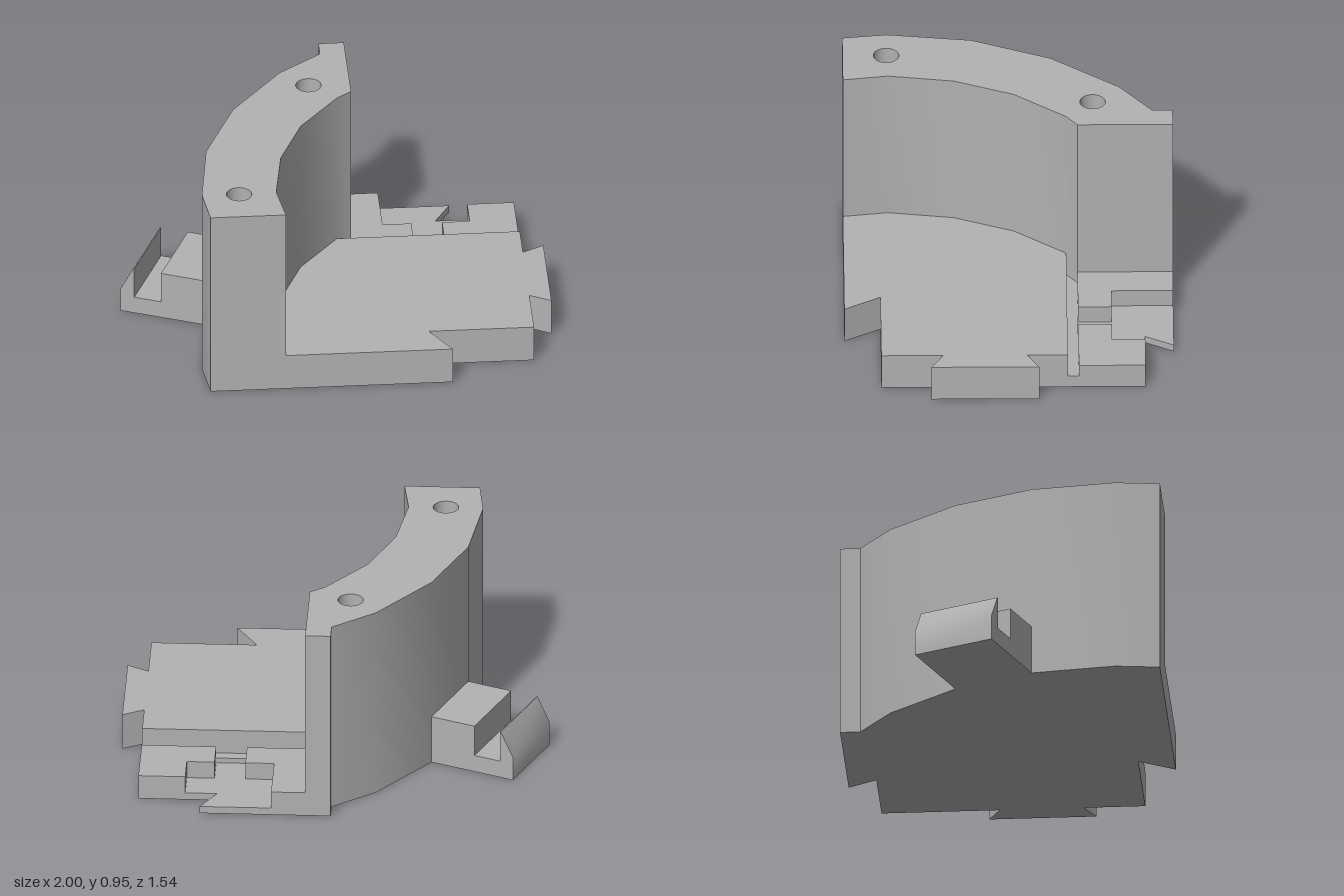
import * as THREE from 'three';
import { toCreasedNormals } from 'three/addons/utils/BufferGeometryUtils.js';

const grey = new THREE.MeshStandardMaterial({ color: 0xb2b2b2 });
grey.name = 'grey';

const CREASE = 0.5;

// Plan outlines are [x, z]; the shape plane is turned flat, so z is negated.
const planShape = (pts) => new THREE.Shape(pts.map(([x, z]) => new THREE.Vector2(x, -z)));

function slab(name, shape, y0, y1) {
  const geo = new THREE.ExtrudeGeometry(shape, { depth: y1 - y0, bevelEnabled: false, curveSegments: 16 });
  geo.rotateX(-Math.PI / 2);
  geo.translate(0, y0, 0);
  const mesh = new THREE.Mesh(toCreasedNormals(geo, CREASE), grey);
  mesh.name = name;
  return mesh;
}

export function createModel() {
  const model = new THREE.Group();
  model.name = 'curvedWallTile';

  // Shared inner edge of the wall, front to back
  const inner = [[-0.28, 0.77], [-0.31, 0.56], [-0.265, 0.25], [-0.15, -0.03], [0.04, -0.275]];

  // Curved wall with two pin holes in its top
  const outer = [[-0.01, -0.775], [-0.01, -0.68], [-0.21, -0.525], [-0.455, -0.205],
    [-0.61, 0.165], [-0.66, 0.56], [-0.635, 0.77]];
  const wall = planShape([...inner, [0.11, -0.327], [0.11, -0.775], ...outer]);
  const holes = [[-0.085, -0.4], [-0.485, 0.565]];
  const holeRadius = 0.06, holeFloor = 0.55;
  for (const [x, z] of holes) {
    wall.holes.push(new THREE.Path().absarc(x, -z, holeRadius, 0, Math.PI * 2, true));
    const plug = new THREE.Shape().absarc(x, -z, holeRadius, 0, Math.PI * 2, false);
    model.add(slab('pinHoleFloor', plug, 0, holeFloor));
  }
  model.add(slab('wall', wall, 0, 0.95));

  // Main floor with dovetail edges
  model.add(slab('floor', planShape([
    ...inner, [0.9, -0.275], [0.9, -0.085], [1, -0.14], [1, 0.365], [0.9, 0.31],
    [0.9, 0.6], [0.405, 0.6], [0.505, 0.77],
  ]), 0, 0.18));

  // Narrow groove behind the floor
  model.add(slab('grooveFloor', planShape([
    [0.04, -0.275], [0.9, -0.275], [0.9, -0.327], [0.11, -0.327],
  ]), 0, 0.06));

  // Rear ledge: thin plate with raised blocks either side of a T-shaped channel
  model.add(slab('channelFloor', planShape([
    [0.11, -0.327], [0.9, -0.327], [0.9, -0.64], [0.53, -0.64], [0.605, -0.775], [0.11, -0.775],
  ]), 0, 0.035));
  model.add(slab('ledgeInner', planShape([
    [0.11, -0.327], [0.405, -0.327], [0.405, -0.485], [0.27, -0.485], [0.27, -0.775], [0.11, -0.775],
  ]), 0.035, 0.12));
  model.add(slab('ledgeOuter', planShape([
    [0.55, -0.327], [0.9, -0.327], [0.9, -0.64], [0.68, -0.64], [0.68, -0.485], [0.55, -0.485],
  ]), 0.035, 0.12));

  // Hook on the outside of the wall: profile runs outward, extruded along the wall
  const profile = [[0, 0], [0.423, 0], [0.423, 0.12], [0.36, 0.24], [0.355, 0.24],
    [0.355, 0.085], [0.223, 0.085], [0.223, 0.24], [0, 0.24]];
  const hookGeo = new THREE.ExtrudeGeometry(
    new THREE.Shape(profile.map(([u, y]) => new THREE.Vector2(u, y))),
    { depth: 0.4, bevelEnabled: false });
  const hook = new THREE.Mesh(toCreasedNormals(hookGeo, CREASE), grey);
  hook.name = 'hook';
  hook.position.set(-0.61, 0, 0.165);
  hook.rotation.y = Math.atan2(0.155, -0.37);
  model.add(hook);

  return model;
}
